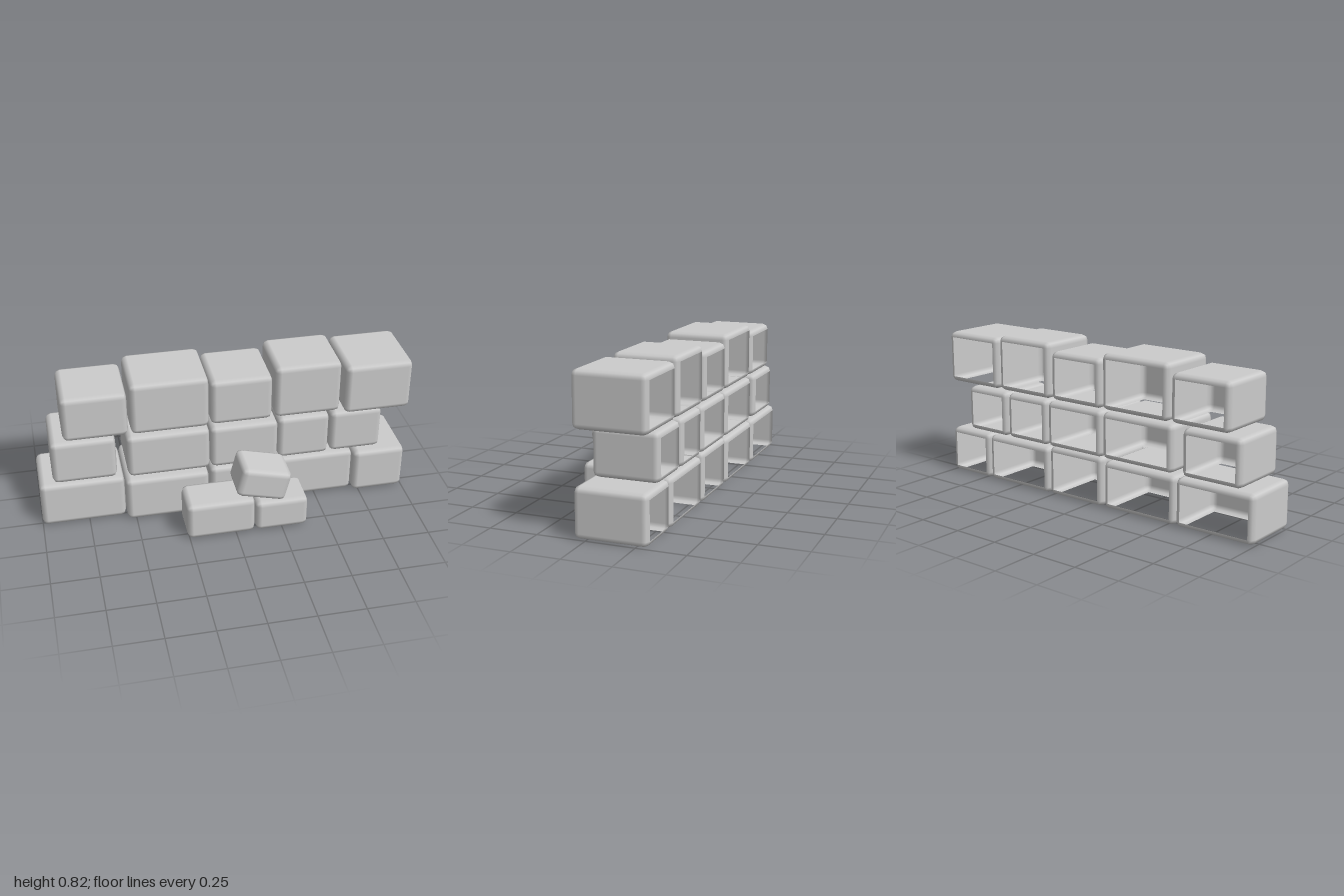
import * as THREE from 'three';
import { RoundedBoxGeometry } from 'three/addons/geometries/RoundedBoxGeometry.js';

const material = new THREE.MeshStandardMaterial({ color: 0xcccccc, side: THREE.DoubleSide });

// Soft-edged hollow block, open underneath and behind.
// The box has six sides of 3x3 quads; the middle quad (or whole back) is left out.
function blockGeometry(w, h, d, dropWholeBack) {
  const box = new RoundedBoxGeometry(w, h, d, 1, 0.03);
  const source = box.index ? box.toNonIndexed() : box;
  const kept = { position: [], normal: [] };
  for (let v = 0; v < source.attributes.position.count; v++) {
    const side = Math.floor(v / 54), quad = Math.floor((v % 54) / 6);
    const openBottom = side === 3 && quad === 4;
    const openBack = side === 5 && (quad === 4 || dropWholeBack);
    if (openBottom || openBack) continue;
    for (const name in kept) {
      const a = source.attributes[name];
      kept[name].push(a.getX(v), a.getY(v), a.getZ(v));
    }
  }
  const geometry = new THREE.BufferGeometry();
  for (const name in kept) geometry.setAttribute(name, new THREE.Float32BufferAttribute(kept[name], 3));
  return geometry;
}

function block(name, x0, x1, y0, y1, z0, z1, dropWholeBack = false) {
  const mesh = new THREE.Mesh(blockGeometry(x1 - x0, y1 - y0, z1 - z0, dropWholeBack), material);
  mesh.position.set((x0 + x1) / 2, (y0 + y1) / 2, (z0 + z1) / 2);
  mesh.name = name;
  return mesh;
}

export function createModel() {
  const group = new THREE.Group();
  group.name = 'brokenStoneWall';

  // Courses of the wall: each block is [left, right, top, front]
  const courses = [
    { name: 'bottomCourse', base: 0, blocks: [
      [-1, -0.55, 0.255, 0.03], [-0.547, -0.1, 0.255, 0.072], [-0.09, 0.27, 0.268, 0.065],
      [0.275, 0.71, 0.255, 0.035], [0.712, 1, 0.255, 0.063]] },
    { name: 'middleCourse', base: 0.263, blocks: [
      [-0.925, -0.585, 0.51, 0.03], [-0.53, -0.09, 0.512, 0.05], [-0.085, 0.28, 0.512, 0.05],
      [0.285, 0.567, 0.512, 0.035], [0.577, 0.862, 0.51, 0.03]] },
    { name: 'topCourse', base: 0.52, blocks: [
      [-0.855, -0.515, 0.772, 0.035], [-0.502, -0.09, 0.814, 0.038], [-0.08, 0.25, 0.78, 0.03],
      [0.265, 0.622, 0.82, 0.03], [0.637, 1, 0.802, 0.067]] },
  ];
  for (const { name, base, blocks } of courses) {
    const course = new THREE.Group();
    course.name = name;
    blocks.forEach(([x0, x1, top, front], i) =>
      course.add(block(`wallBlock${i + 1}`, x0, x1, base, top, -0.31, front)));
    group.add(course);
  }

  // Fallen stones in front of the wall
  const fallen = new THREE.Group();
  fallen.name = 'fallenStones';
  fallen.add(block('fallenStoneRight', -0.262, 0.1, 0.005, 0.215, 0.091, 0.31, true));
  fallen.add(block('fallenStoneLeft', 0.105, 0.387, 0.005, 0.185, 0.091, 0.31, true));
  const tilted = block('tiltedStone', 0.013, 0.283, 0.21, 0.38, 0.091, 0.31, true);
  tilted.rotation.z = -0.25;
  fallen.add(tilted);
  group.add(fallen);

  return group;
}
